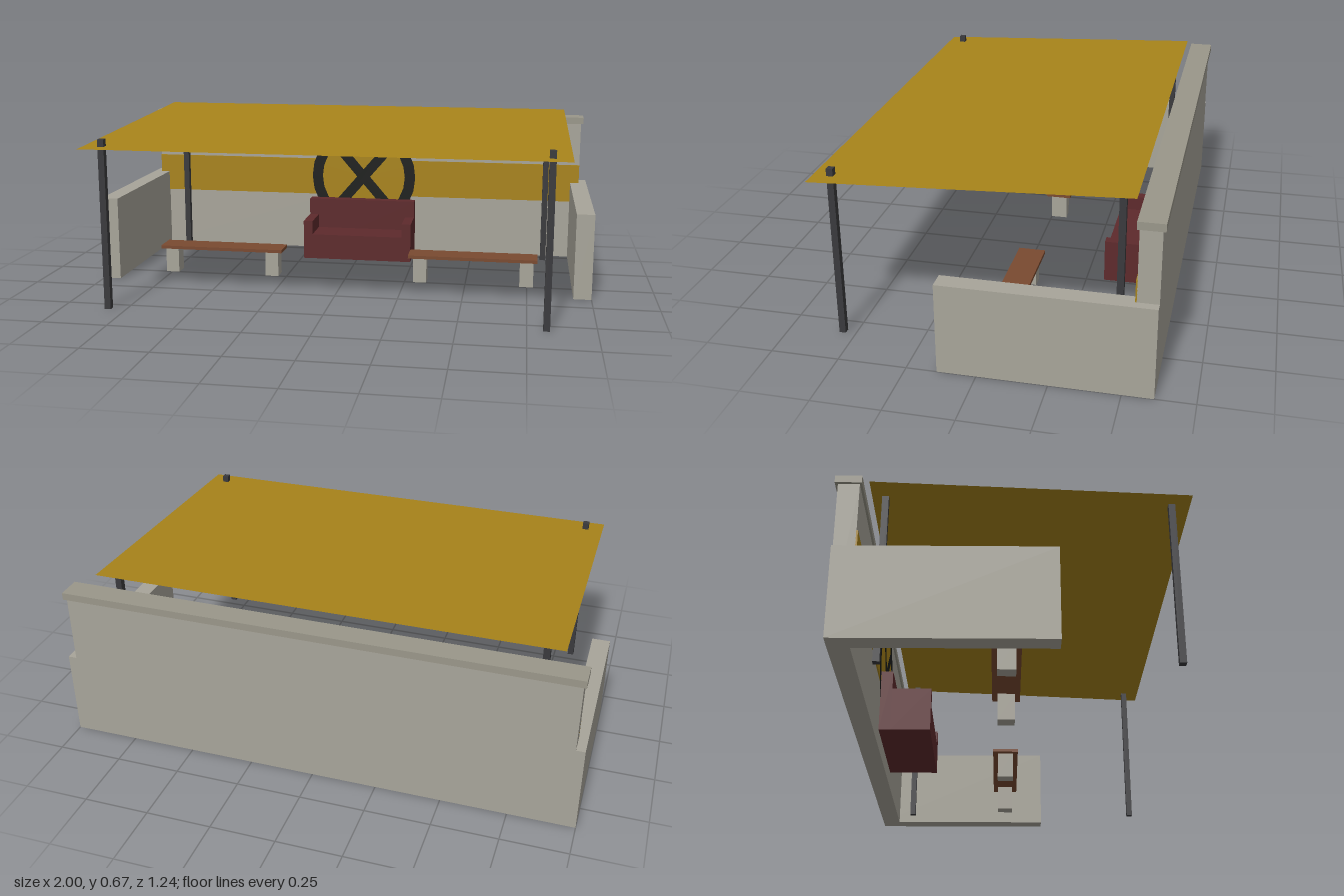
import * as THREE from 'three';

const mat = (color, side = THREE.FrontSide) =>
  new THREE.MeshStandardMaterial({ color, side });

const stone = mat(0xa8a59a);
const capStone = mat(0x9a978a);
const ochre = mat(0xa8841a, THREE.DoubleSide);
const iron = mat(0x3a3a3d);
const black = mat(0x1c1e1c, THREE.DoubleSide);
const red = mat(0x5e2a2c);
const wood = mat(0x7a4a30);

export function createModel() {
  const root = new THREE.Group();

  function add(name, geometry, material, parent = root) {
    const mesh = new THREE.Mesh(geometry, material);
    mesh.name = name;
    parent.add(mesh);
    return mesh;
  }

  // Box given by its lower and upper limits on each axis
  function box(name, [x0, x1], [y0, y1], [z0, z1], material, parent) {
    const g = new THREE.BoxGeometry(x1 - x0, y1 - y0, z1 - z0);
    g.translate((x0 + x1) / 2, (y0 + y1) / 2, (z0 + z1) / 2);
    return add(name, g, material, parent);
  }

  // Back wall with coping and painted band
  box('backWall', [-0.967, 0.967], [0, 0.605], [-0.61, -0.535], stone);
  box('wallCoping', [-0.977, 0.977], [0.605, 0.633], [-0.62, -0.527], capStone);
  box('paintedBand', [-0.967, 0.967], [0.255, 0.42], [-0.536, -0.53], ochre);

  for (const s of [-1, 1]) {
    const side = s > 0 ? 'left' : 'right';
    const span = (a, b) => (s > 0 ? [a, b] : [-b, -a]);

    // Low side wall
    box(side + 'SideWall', span(0.93, 1), [0, 0.34], [-0.61, 0.14], stone);

    // Canopy posts
    for (const [end, z] of [['Front', 0.55], ['Back', -0.463]])
      box(side + end + 'Post', span(0.808, 0.832), [0, 0.65], [z - 0.012, z + 0.012], iron);

    // Bench: plank on two blocks
    const bench = new THREE.Group();
    bench.name = side + 'Bench';
    root.add(bench);
    box('benchPlank', span(0.265, 0.79), [0.105, 0.118], [-0.085, 0.02], wood, bench);
    for (const x of [0.285, 0.72])
      box('benchBlock', span(x, x + 0.055), [0, 0.105], [-0.065, 0], stone, bench);
  }

  // Thin canopy sheet, falling towards the front
  const sheet = new THREE.PlaneGeometry(1.78, Math.hypot(1.13, 0.05));
  sheet.rotateX(-Math.PI / 2 + Math.atan2(0.05, 1.13));
  sheet.translate(0, 0.645, 0.05);
  add('canopy', sheet, ochre);

  // Flat wheel emblem on the wall: disc, rim and crossed spokes
  const wheel = new THREE.Group();
  wheel.name = 'wallWheel';
  wheel.position.set(0, 0.342, -0.528);
  root.add(wheel);
  add('wheelDisc', new THREE.CircleGeometry(0.21, 24), ochre, wheel);
  add('wheelRim', new THREE.RingGeometry(0.19, 0.238, 24), black, wheel).position.z = 0.003;
  for (const s of [-1, 1]) {
    const spoke = add('wheelSpoke', new THREE.PlaneGeometry(0.4, 0.045), black, wheel);
    spoke.rotation.z = s * 0.86;
    spoke.position.z = 0.004 + s * 0.001;
  }

  // Sofa: seat and arms in one profile, with a taller back
  const sofa = new THREE.Group();
  sofa.name = 'sofa';
  root.add(sofa);
  const profile = new THREE.Shape([
    [-0.24, 0], [0.24, 0], [0.24, 0.17], [0.2, 0.17],
    [0.2, 0.11], [-0.2, 0.11], [-0.2, 0.17], [-0.24, 0.17],
  ].map(([x, y]) => new THREE.Vector2(x, y)));
  const seat = new THREE.ExtrudeGeometry(profile, { depth: 0.15, bevelEnabled: false });
  seat.translate(0, 0, -0.47);
  add('seatAndArms', seat, red, sofa);
  box('sofaBack', [-0.24, 0.24], [0, 0.243], [-0.515, -0.47], red, sofa);

  return root;
}
